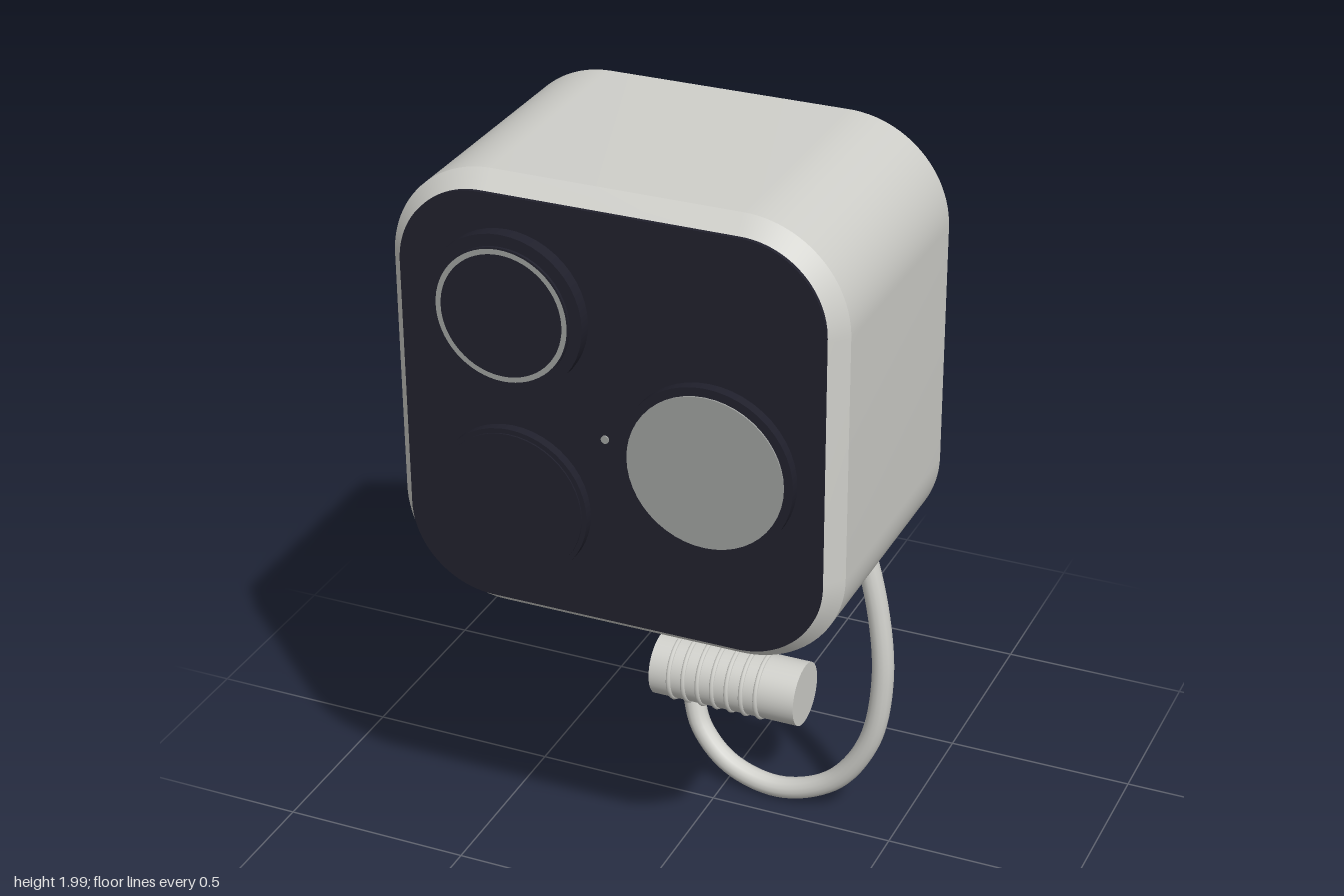
import * as THREE from 'three';
import { toCreasedNormals } from 'three/addons/utils/BufferGeometryUtils.js';

export function createModel() {
  const model = new THREE.Group();
  model.name = 'securityCamera';

  const mat = (name, color) => {
    const m = new THREE.MeshStandardMaterial({ color });
    m.name = name;
    return m;
  };
  const shell = mat('warmGreyPlastic', 0xcfcfca);
  const dark = mat('darkPanel', 0x20202c);
  const silver = mat('silverTrim', 0x9c9e9c);
  const steel = mat('screwSteel', 0x7c7c7c);

  const add = (name, geometry, material, x = 0, y = 0, z = 0, parent = model) => {
    const mesh = new THREE.Mesh(geometry, material);
    mesh.name = name;
    mesh.position.set(x, y, z);
    parent.add(mesh);
    return mesh;
  };

  // Rounded rectangular slab, centred in x and y, running from z = 0 to depth
  const slab = (w, h, r, depth, bevel) => {
    const a = w / 2 - bevel, b = h / 2 - bevel, k = r - bevel;
    const s = new THREE.Shape();
    s.moveTo(-a + k, -b);
    s.lineTo(a - k, -b);
    s.absarc(a - k, -b + k, k, -Math.PI / 2, 0);
    s.lineTo(a, b - k);
    s.absarc(a - k, b - k, k, 0, Math.PI / 2);
    s.lineTo(-a + k, b);
    s.absarc(-a + k, b - k, k, Math.PI / 2, Math.PI);
    s.lineTo(-a, -b + k);
    s.absarc(-a + k, -b + k, k, Math.PI, Math.PI * 1.5);
    const g = new THREE.ExtrudeGeometry(s, {
      depth: depth - 2 * bevel, curveSegments: 12, bevelEnabled: bevel > 0,
      bevelThickness: bevel, bevelSize: bevel, bevelSegments: 1,
    });
    g.translate(0, 0, bevel);
    return toCreasedNormals(g, 0.5);
  };

  // Disc facing +z, spanning z0 to z1
  const disc = (name, r, x, y, z0, z1, material, parent) => {
    const g = new THREE.CylinderGeometry(r, r, z1 - z0, 48);
    g.rotateX(Math.PI / 2);
    return add(name, g, material, x, y, (z0 + z1) / 2, parent);
  };

  // Housing and front panel
  add('housing', slab(1.14, 1.14, 0.26, 0.735, 0.045), shell, 0, 1.43, -0.135);
  add('frontPanel', slab(1.06, 1.06, 0.21, 0.01, 0), dark, 0, 1.43, 0.596);

  // Lenses and sensor
  const optics = new THREE.Group();
  optics.name = 'optics';
  model.add(optics);
  disc('upperLensBase', 0.2, -0.25, 1.68, 0.6, 0.64, dark, optics);
  disc('upperLens', 0.17, -0.25, 1.68, 0.63, 0.647, dark, optics);
  add('upperLensRing', new THREE.RingGeometry(0.154, 0.167, 64), silver, -0.25, 1.68, 0.65, optics);
  disc('lowerLens', 0.197, -0.25, 1.18, 0.6, 0.63, dark, optics);
  disc('lowerLensFace', 0.185, -0.25, 1.18, 0.62, 0.634, dark, optics);
  disc('sensorBase', 0.217, 0.25, 1.37, 0.6, 0.632, dark, optics);
  disc('sensorWindow', 0.195, 0.25, 1.37, 0.63, 0.636, silver, optics);
  disc('indicatorLight', 0.01, -0.012, 1.39, 0.6, 0.61, silver, optics);

  // Wall mount: socket, arm, plate and screws
  const mount = new THREE.Group();
  mount.name = 'wallMount';
  model.add(mount);
  disc('mountSocket', 0.145, 0, 1.345, -0.257, -0.13, shell, mount);
  const armStart = new THREE.Vector3(0, 1.262, -0.205);
  const armEnd = new THREE.Vector3(0, 1.062, -0.575);
  const armDir = armEnd.clone().sub(armStart);
  const arm = add('mountArm', new THREE.CylinderGeometry(0.081, 0.081, armDir.length(), 40), shell, 0, 0, 0, mount);
  arm.position.copy(armStart).add(armEnd).multiplyScalar(0.5);
  arm.quaternion.setFromUnitVectors(new THREE.Vector3(0, 1, 0), armDir.normalize());
  add('wallPlate', slab(0.43, 0.62, 0.075, 0.078, 0.014), shell, 0, 1.035, -0.652, mount);
  for (const y of [0.817, 1.255]) disc('plateScrew', 0.03, 0, y, -0.58, -0.563, steel, mount);

  // Cable hanging in a loop
  const path = new THREE.CatmullRomCurve3([
    [0.33, 0.95, -0.075], [0.37, 0.86, -0.075], [0.425, 0.66, -0.071], [0.446, 0.45, -0.066],
    [0.412, 0.25, -0.067], [0.31, 0.1, -0.073], [0.155, 0.035, -0.08], [0.01, 0.066, -0.09],
    [-0.08, 0.15, -0.108], [-0.115, 0.25, -0.128],
  ].map((p) => new THREE.Vector3(...p)));
  add('cable', new THREE.TubeGeometry(path, 80, 0.029, 14), shell);

  // Ribbed plug on the end of the cable
  const plug = new THREE.Group();
  plug.name = 'cablePlug';
  plug.position.set(0, 0.307, -0.136);
  model.add(plug);
  const barrel = new THREE.CylinderGeometry(0.087, 0.087, 0.414, 40);
  barrel.rotateZ(Math.PI / 2);
  add('plugBarrel', barrel, shell, -0.002, 0, 0, plug);
  const rib = new THREE.TorusGeometry(0.086, 0.007, 8, 40);
  rib.rotateY(Math.PI / 2);
  for (let i = 0; i < 7; i++) add('plugRib', rib, shell, -0.152 + i * 0.0415, 0, 0, plug);

  return model;
}
